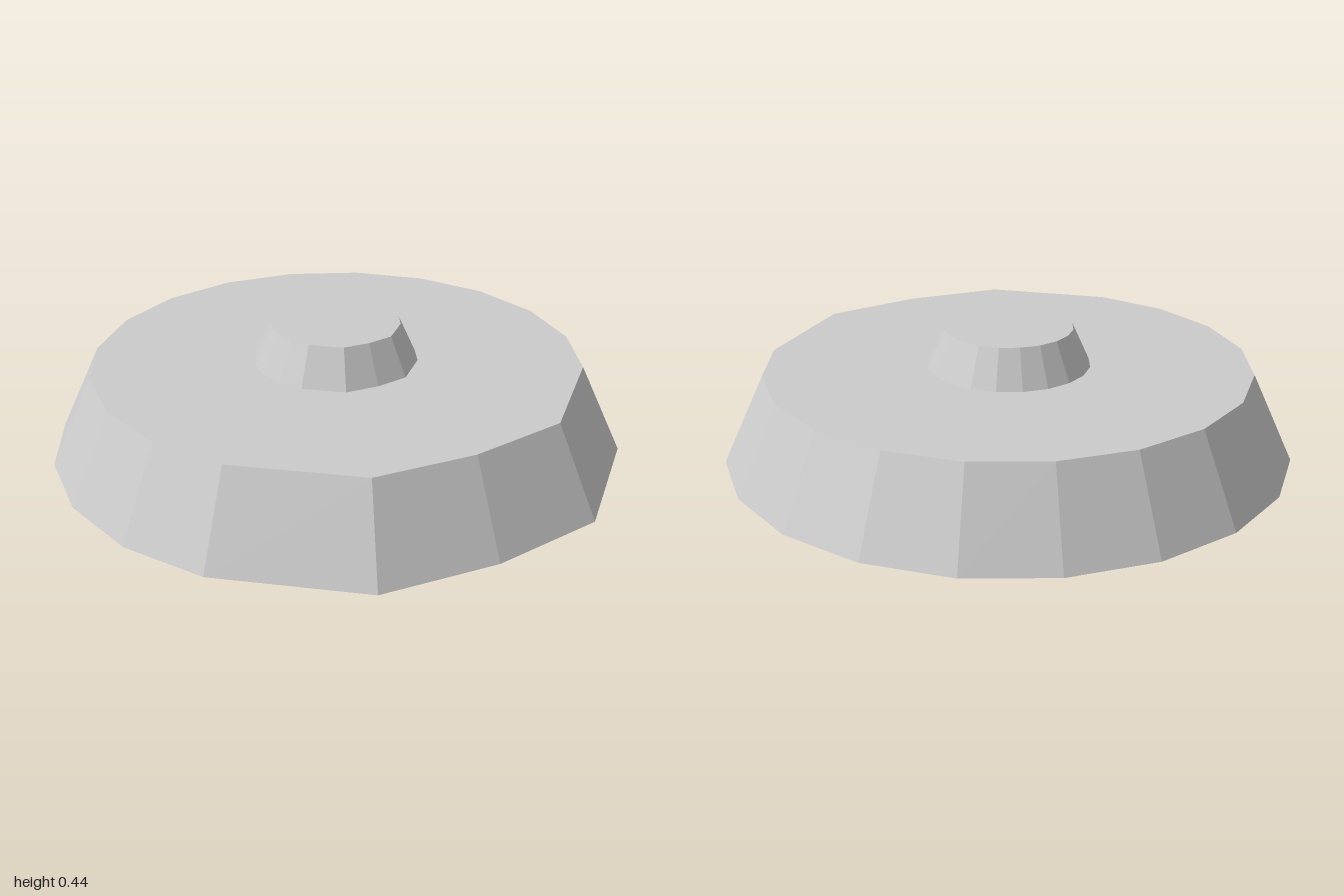
import * as THREE from 'three';

const SIDES = 18;

// Shared outline: a 20-sided ring, with two longer sides on each half of the front.
function outlinePoint(i) {
  if (i === 0) return [0, 0.988];
  if (i === 1) return [0.41, 0.942];
  if (i === SIDES - 1) return [-0.41, 0.942];
  const a = THREE.MathUtils.degToRad(54 + (i - 2) * 18);
  return [Math.sin(a), Math.cos(a) + 0.008];
}

// Tapered disc whose rings follow the outline.
function taperedDisc(name, topRadius, bottomRadius, y0, y1, material) {
  const geometry = new THREE.CylinderGeometry(topRadius, bottomRadius, y1 - y0, SIDES);
  const pos = geometry.attributes.position;
  for (let v = 0; v < pos.count; v++) {
    const x = pos.getX(v), z = pos.getZ(v);
    const r = Math.hypot(x, z);
    if (r < 1e-6) continue;
    const step = Math.round(Math.atan2(x, z) / (2 * Math.PI) * SIDES);
    const [ox, oz] = outlinePoint((step + SIDES) % SIDES);
    pos.setX(v, ox * r);
    pos.setZ(v, oz * r);
  }
  geometry.translate(0, (y0 + y1) / 2, 0);
  const flat = geometry.toNonIndexed();
  flat.computeVertexNormals();
  const mesh = new THREE.Mesh(flat, material);
  mesh.name = name;
  return mesh;
}

export function createModel() {
  const material = new THREE.MeshStandardMaterial({ color: 0xcccccc, flatShading: true });
  const model = new THREE.Group();
  model.name = 'steppedDisc';
  model.add(
    taperedDisc('base', 0.856, 1, 0, 0.31, material),
    taperedDisc('knob', 0.226, 0.287, 0.31, 0.445, material)
  );
  return model;
}
